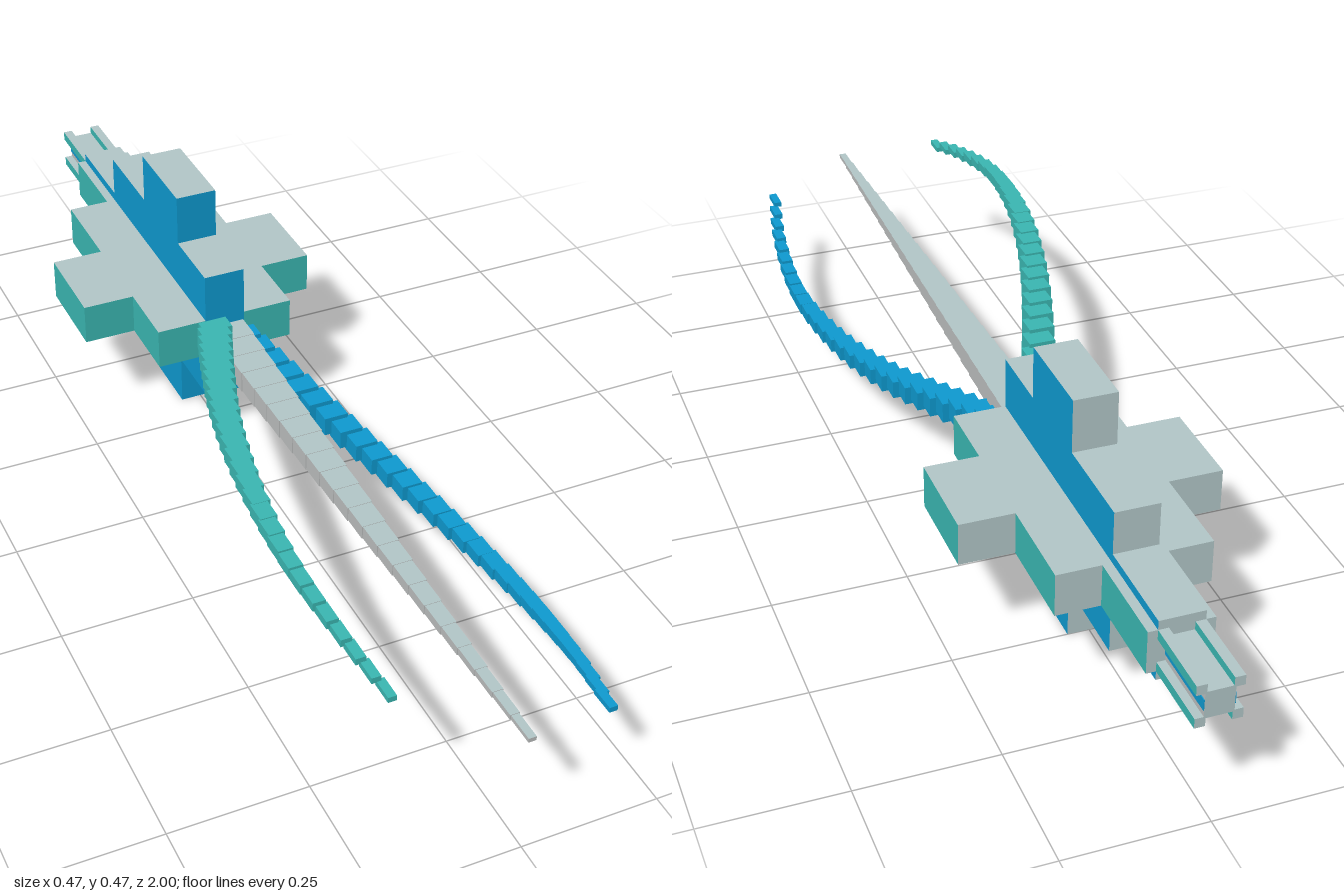
import * as THREE from 'three';

const mat = (name, color) => Object.assign(new THREE.MeshStandardMaterial({ color }), { name });
const CY = 0.237; // height of the long axis

export function createModel() {
  const blue = mat('blue', 0x0e9ad0);
  const teal = mat('teal', 0x3ab7b2);
  const pale = mat('paleGrey', 0xb2c7c8);
  const grey = mat('neutralGrey', 0xbcbebe);

  // face order: +x, -x, +y, -y, +z, -z
  const blueSkin = [blue, blue, pale, blue, blue, pale];
  const tealSkin = [teal, teal, pale, blue, teal, pale];
  const tailSkin = [teal, teal, pale, teal, teal, pale];
  const tailCore = [grey, grey, pale, grey, grey, pale];
  const greySkin = [grey, grey, pale, grey, grey, pale];

  const root = new THREE.Group();
  const group = (name) => {
    const g = new THREE.Group();
    g.name = name;
    root.add(g);
    return g;
  };
  const box = (parent, name, x, y, z, w, h, d, material) => {
    const m = new THREE.Mesh(new THREE.BoxGeometry(w, h, d), material);
    m.position.set(x, CY + y, z);
    m.name = name;
    parent.add(m);
  };

  // Body: a square core with stepped fins on four sides
  const body = group('body');
  box(body, 'core', 0, 0, -0.522, 0.08, 0.08, 0.676, blueSkin);
  const steps = [ // inner radius, outer radius, front z, back z
    [0.04, 0.137, -0.184, -0.68],
    [0.137, 0.237, -0.32, -0.5],
    [0.04, 0.057, -0.68, -0.86],
  ];
  for (const [r0, r1, z0, z1] of steps) {
    const mid = (r0 + r1) / 2, size = r1 - r0, z = (z0 + z1) / 2, d = z0 - z1;
    for (const s of [-1, 1]) {
      box(body, 'verticalFin', 0, s * mid, z, 0.08, size, d, blueSkin);
      box(body, 'sideFin', s * mid, 0, z, size, 0.08, d, tealSkin);
    }
  }

  // Tail: core with four corner ridges and narrow grooves
  const tail = group('tail');
  box(tail, 'tailCore', 0, 0, -0.93, 0.05, 0.05, 0.14, tailCore);
  for (const sx of [-1, 1]) {
    box(tail, 'tailStripe', sx * 0.0255, 0, -0.93, 0.002, 0.02, 0.139, blue);
    for (const sy of [-1, 1])
      box(tail, 'tailRidge', sx * 0.031, sy * 0.031, -0.93, 0.018, 0.018, 0.14, tailSkin);
  }

  // Centre tentacle: straight row of shrinking blocks
  const centre = group('centreTentacle');
  const n = 22, z0 = -0.184, step = (1 - z0) / n;
  for (let i = 0; i < n; i++) {
    const t = i / (n - 1);
    box(centre, 'segment', 0, 0, z0 + (i + 0.5) * step,
      0.076 - 0.062 * t, 0.046 - 0.038 * t, step, greySkin);
  }

  // Side tentacles: blocks stepping along a bowed path
  const tentacle = (name, points, material) => {
    const g = group(name);
    const curve = new THREE.CatmullRomCurve3(points.map((p) => new THREE.Vector3(...p)));
    const count = 28;
    const length = points[points.length - 1][2] - points[0][2];
    for (let i = 0; i < count; i++) {
      const t = i / (count - 1);
      const p = curve.getPointAt((i + 0.5) / count);
      box(g, 'segment', p.x, p.y, p.z,
        0.056 - 0.041 * t, 0.045 - 0.035 * t, (length / count) * 1.12, material);
    }
  };
  tentacle('rightTentacle', [
    [-0.02, 0.012, -0.19], [-0.092, 0.058, 0], [-0.157, 0.092, 0.2], [-0.2, 0.109, 0.4],
    [-0.216, 0.103, 0.6], [-0.2, 0.077, 0.77], [-0.177, 0.05, 0.885],
  ], teal);
  tentacle('leftTentacle', [
    [0.025, -0.012, -0.19], [0.088, -0.052, 0], [0.15, -0.09, 0.2], [0.195, -0.108, 0.4],
    [0.216, -0.106, 0.6], [0.203, -0.078, 0.8], [0.173, -0.046, 0.95],
  ], blue);

  return root;
}
